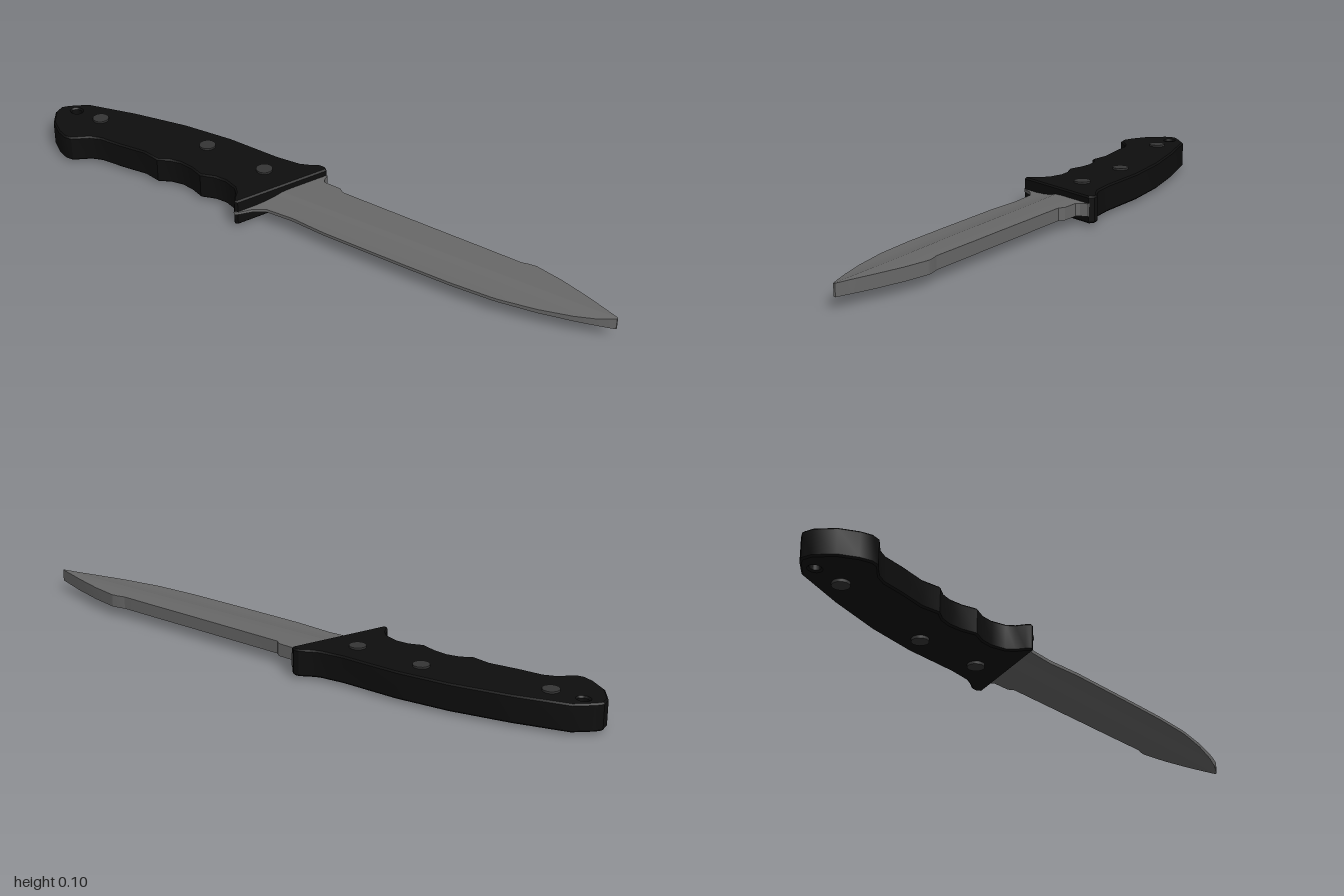
import * as THREE from 'three';
import { toCreasedNormals } from 'three/addons/utils/BufferGeometryUtils.js';

const MID = 0.052; // height of the blade's central plane

const steel = new THREE.MeshStandardMaterial({ name: 'bladeSteel', color: 0x686868 });
const black = new THREE.MeshStandardMaterial({ name: 'blackGrip', color: 0x0e0e0e });
const grey = new THREE.MeshStandardMaterial({ name: 'rivetGrey', color: 0x353535 });

// Grip slab: outline as [x, z], with finger grooves and a lanyard hole
function makeGrip() {
  const outline = [
    [-1, 0.02], [-0.985, 0], [-0.935, -0.043], [-0.77, -0.085], [-0.59, -0.118], [-0.42, -0.132],
    [-0.235, -0.128], [-0.155, -0.135], [-0.125, -0.148], [-0.1, -0.163], [-0.082, -0.163], [-0.067, -0.15],
    [-0.19, 0.148], [-0.2, 0.152], [-0.212, 0.138], [-0.225, 0.11], [-0.245, 0.09], [-0.29, 0.075],
    [-0.33, 0.076], [-0.375, 0.092], [-0.42, 0.076], [-0.465, 0.07], [-0.505, 0.077], [-0.54, 0.097],
    [-0.6, 0.086], [-0.69, 0.096], [-0.765, 0.1], [-0.8, 0.113], [-0.845, 0.152], [-0.87, 0.155],
    [-0.905, 0.142], [-0.957, 0.107], [-0.995, 0.053],
  ];
  const shape = new THREE.Shape(outline.map(([x, z]) => new THREE.Vector2(x, -z)));
  const hole = new THREE.Path();
  hole.absellipse(-0.94, -0.012, 0.018, 0.015, 0, Math.PI * 2);
  shape.holes.push(hole);
  const bevel = 0.005;
  const geo = new THREE.ExtrudeGeometry(shape, {
    depth: 0.085 - 2 * bevel, bevelThickness: bevel, bevelSize: bevel,
    bevelOffset: -bevel, bevelSegments: 1, curveSegments: 10,
  });
  geo.rotateX(-Math.PI / 2).translate(0, 0.009 + bevel, 0);
  return new THREE.Mesh(toCreasedNormals(geo, 0.5), black);
}

// Half thickness across the blade: flat spine side, hollow grind towards the edge
const GRIND = [[-0.03, 0.02], [0, 0.0185], [0.03, 0.011], [0.055, 0.0075], [0.09, 0.005], [0.16, 0.0042]];
function halfThickness(z) {
  if (z <= GRIND[0][0]) return GRIND[0][1];
  for (let i = 1; i < GRIND.length; i++) {
    const [z0, h0] = GRIND[i - 1], [z1, h1] = GRIND[i];
    if (z <= z1) return h0 + (h1 - h0) * (z - z0) / (z1 - z0);
  }
  return 0.0042;
}

// Blade: slanted stations from guard to tip, each [spine x, spine z, edge x, edge z]
function makeBlade() {
  const stations = [
    [-0.085, -0.157, -0.2, 0.156], [-0.064, -0.15, -0.186, 0.148], [-0.058, -0.125, -0.16, 0.112],
    [-0.05, -0.115, -0.125, 0.09], [0.01, -0.112, -0.03, 0.086], [0.027, -0.099, 0.027, 0.091],
    [0.09, -0.097, 0.09, 0.096], [0.35, -0.09, 0.35, 0.1], [0.52, -0.086, 0.52, 0.101],
    [0.655, -0.082, 0.655, 0.095], [0.675, -0.087, 0.675, 0.093], [0.7, -0.09, 0.7, 0.089],
    [0.79, -0.071, 0.79, 0.074], [0.89, -0.041, 0.89, 0.048], [0.95, -0.02, 0.95, 0.027],
    [0.985, -0.008, 0.985, 0.011], [1, -0.003, 1, 0.003],
  ];
  const rows = GRIND.slice(0, 5).map((g) => g[0]);
  const n = rows.length + 2;
  const pos = [], index = [];
  for (const [sx, sz, ex, ez] of stations) {
    const zs = [sz, ...rows.map((z) => THREE.MathUtils.clamp(z, sz, ez)), ez];
    const point = (z, side) => pos.push(sx + (ex - sx) * (z - sz) / (ez - sz), MID + side * halfThickness(z), z);
    zs.forEach((z) => point(z, 1));
    zs.reverse().forEach((z) => point(z, -1));
  }
  const ring = 2 * n;
  for (let i = 0; i < stations.length - 1; i++) {
    for (let j = 0; j < ring; j++) {
      const k = (j + 1) % ring;
      const a = i * ring + j, b = i * ring + k, c = b + ring, d = a + ring;
      index.push(a, b, c, a, c, d);
    }
  }
  // blunt tip
  const last = (stations.length - 1) * ring;
  for (let j = 0; j < n - 1; j++) {
    const a = last + j, b = a + 1, c = last + ring - 2 - j, d = c + 1;
    index.push(a, b, c, a, c, d);
  }
  const geo = new THREE.BufferGeometry();
  geo.setAttribute('position', new THREE.Float32BufferAttribute(pos, 3));
  geo.setIndex(index);
  return new THREE.Mesh(toCreasedNormals(geo, 0.15), steel);
}

export function createModel() {
  const model = new THREE.Group();
  model.name = 'knife';

  const grip = makeGrip();
  grip.name = 'grip';
  const blade = makeBlade();
  blade.name = 'blade';
  model.add(grip, blade);

  // Rivets pass right through the grip and stand slightly proud
  const rivetGeo = new THREE.CylinderGeometry(0.026, 0.026, 0.1, 16);
  [[-0.84, 0.01], [-0.455, -0.053], [-0.225, -0.04]].forEach(([x, z]) => {
    const rivet = new THREE.Mesh(rivetGeo, grey);
    rivet.name = 'rivet';
    rivet.position.set(x, 0.05, z);
    model.add(rivet);
  });
  return model;
}
